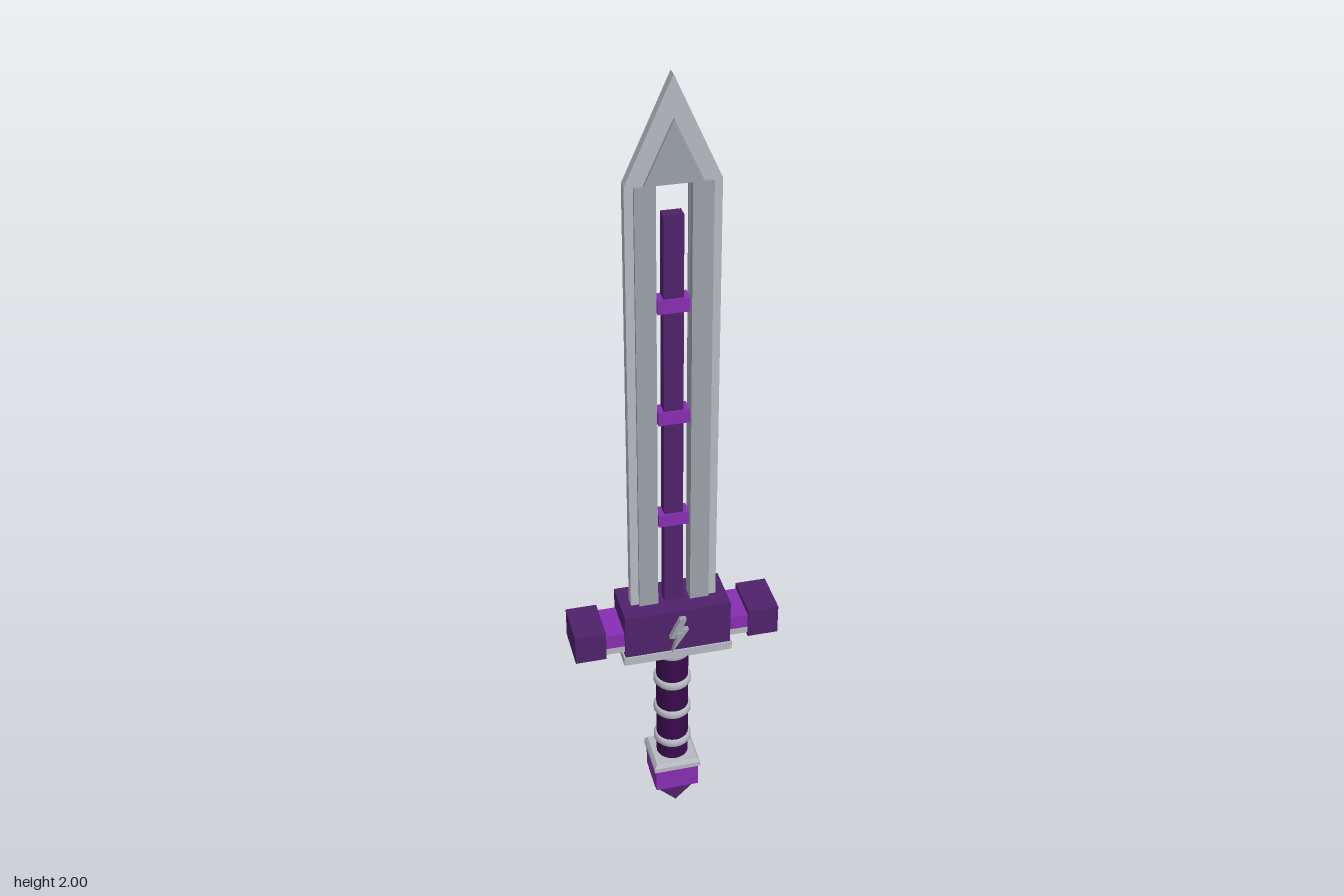
import * as THREE from 'three';

const mat = (name, color) => {
  const m = new THREE.MeshStandardMaterial({ color });
  m.name = name;
  return m;
};

export function createModel() {
  const steel = mat('light steel', 0xb6b9c0);
  const darkSteel = mat('dark steel', 0x9ca1aa);
  const purple = mat('deep purple', 0x4f216b);
  const bright = mat('bright purple', 0x882db2);
  const grip = mat('grip purple', 0x390b4e);
  const sword = new THREE.Group();
  sword.name = 'sword';

  const add = (name, geometry, material, x = 0, y = 0, z = 0, parent = sword) => {
    const mesh = new THREE.Mesh(geometry, material);
    mesh.name = name;
    mesh.position.set(x, y, z);
    parent.add(mesh);
    return mesh;
  };
  // Box given by its centre x, its bottom and top, and its width and depth
  const box = (name, material, x, y0, y1, w, d) =>
    add(name, new THREE.BoxGeometry(w, y1 - y0, d), material, x, (y0 + y1) / 2);
  // Outline extruded evenly about z = 0
  const plate = (points, depth, hole) => {
    const shape = new THREE.Shape(points.map(p => new THREE.Vector2(...p)));
    if (hole) shape.holes.push(new THREE.Path(hole.map(p => new THREE.Vector2(...p))));
    return new THREE.ExtrudeGeometry(shape, { depth, bevelEnabled: false }).translate(0, 0, -depth / 2);
  };

  // Blade: slotted edge layer with a thicker core layer
  const slot = [[-0.04, 0.64], [-0.04, 1.765], [0.04, 1.765], [0.04, 0.64]];
  add('bladeEdge', plate([[-0.107, 0.62], [0.107, 0.62], [0.107, 1.765], [0, 2], [-0.107, 1.765]], 0.025, slot), steel);
  add('bladeCore', plate([[-0.087, 0.62], [0.087, 0.62], [0.087, 1.765], [0.066, 1.765],
    [0, 1.907], [-0.066, 1.765], [-0.087, 1.765]], 0.041, slot), darkSteel);

  // Rod floating in the slot, with bands
  box('innerRod', purple, 0, 0.64, 1.692, 0.046, 0.03);
  for (const y of [0.905, 1.19, 1.477]) box('rodBand', bright, 0, y - 0.017, y + 0.017, 0.074, 0.038);

  // Guard
  box('guardBlock', purple, 0, 0.54, 0.66, 0.266, 0.124);
  box('guardPlate', steel, 0, 0.517, 0.54, 0.274, 0.131);
  for (const s of [-1, 1]) {
    box('guardArm', bright, s * 0.155, 0.57, 0.608, 0.06, 0.108);
    box('guardArmTrim', steel, s * 0.155, 0.552, 0.57, 0.06, 0.108);
    box('guardEnd', purple, s * 0.2185, 0.543, 0.622, 0.077, 0.117);
  }

  // Zigzag ornament on both faces of the guard
  const zigzag = [[0.018, 0.643], [0.006, 0.61], [0.024, 0.61], [-0.018, 0.545],
    [-0.006, 0.588], [-0.024, 0.588], [0.002, 0.643]].reverse();
  for (const turn of [0, Math.PI]) {
    const side = new THREE.Group();
    side.name = 'guardOrnament';
    side.rotation.y = turn;
    sword.add(side);
    add('zigzag', plate(zigzag, 0.016), darkSteel, 0, 0, 0.068, side);
    add('ornamentStud', new THREE.BoxGeometry(0.017, 0.014, 0.02), darkSteel, 0, 0.598, 0.072, side);
  }

  // Grip with rounded rings
  add('grip', new THREE.CylinderGeometry(0.041, 0.041, 0.39, 24), grip, 0, 0.335);
  const ringProfile = [[0.03, -0.012], [0.043, -0.012], [0.048, -0.006], [0.048, 0.006],
    [0.043, 0.012], [0.03, 0.012]].map(p => new THREE.Vector2(...p));
  for (const y of [0.205, 0.303, 0.4, 0.498]) add('gripRing', new THREE.LatheGeometry(ringProfile, 24), steel, 0, y);

  // Pommel: collar with a chamfered top, block, and a box turned on its corner
  box('pommelCollar', steel, 0, 0.129, 0.142, 0.122, 0.122);
  const chamfer = new THREE.CylinderGeometry(0.054 * Math.SQRT2, 0.061 * Math.SQRT2, 0.01, 4, 1).rotateY(Math.PI / 4).toNonIndexed();
  chamfer.computeVertexNormals();
  add('pommelCollarTop', chamfer, steel, 0, 0.147);
  box('pommelBlock', bright, 0, 0.062, 0.129, 0.112, 0.112);
  add('pommelTip', new THREE.BoxGeometry(0.078, 0.078, 0.076), purple, 0, 0.0552).rotation.z = Math.PI / 4;

  return sword;
}
